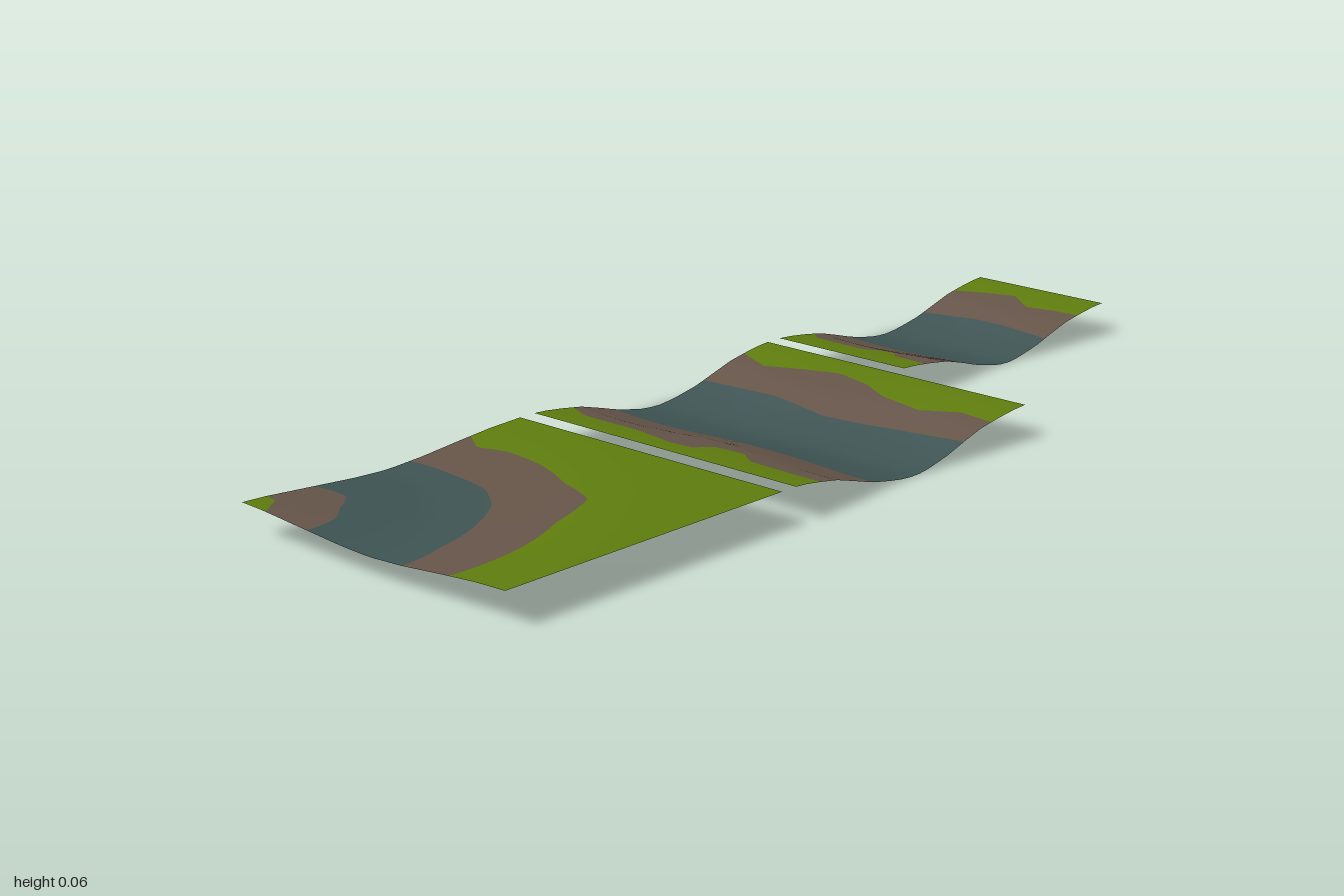
import * as THREE from 'three';

const mat = (name, color) => new THREE.MeshStandardMaterial({ name, color, side: THREE.DoubleSide });

// piecewise linear lookup in a list of [position, value]
function lookup(table, p) {
  if (p <= table[0][0]) return table[0][1];
  for (let i = 1; i < table.length; i++) {
    const [p0, v0] = table[i - 1], [p1, v1] = table[i];
    if (p <= p1) return v0 + (v1 - v0) * (p - p0) / (p1 - p0);
  }
  return table[table.length - 1][1];
}

// surface between two edges; an edge maps t (0..1) to [x, z], height gives y
function strip(edgeA, edgeB, height, nu, nv) {
  const pos = [], nor = [], idx = [], e = 0.015;
  for (let j = 0; j <= nv; j++) {
    for (let i = 0; i <= nu; i++) {
      const a = edgeA(i / nu), b = edgeB(i / nu), k = j / nv;
      const x = a[0] + (b[0] - a[0]) * k, z = a[1] + (b[1] - a[1]) * k;
      pos.push(x, height(x, z), z);
      const n = new THREE.Vector3(height(x - e, z) - height(x + e, z), 2 * e,
        height(x, z - e) - height(x, z + e)).normalize();
      nor.push(n.x, n.y, n.z);
      if (i < nu && j < nv) {
        const p = j * (nu + 1) + i, q = p + nu + 1;
        idx.push(p, q, p + 1, p + 1, q, q + 1);
      }
    }
  }
  const g = new THREE.BufferGeometry();
  g.setAttribute('position', new THREE.Float32BufferAttribute(pos, 3));
  g.setAttribute('normal', new THREE.Float32BufferAttribute(nor, 3));
  g.setIndex(idx);
  return g;
}

// tile made of five bands: grass, bank, water, bank, grass
function tile(name, edges, height, materials) {
  const group = new THREE.Group();
  group.name = name;
  const names = ['farGrass', 'farBank', 'riverWater', 'nearBank', 'nearGrass'];
  names.forEach((part, i) => {
    const m = new THREE.Mesh(strip(edges[i], edges[i + 1], height, 64, 10), materials[i]);
    m.name = part;
    group.add(m);
  });
  return group;
}

export function createModel() {
  const model = new THREE.Group();
  model.name = 'riverTiles';
  const grass = mat('grassGreen', 0x5f7d0e);
  const bank = mat('bankBrown', 0x665549);
  const water = mat('waterTeal', 0x3f5454);
  const bands = [grass, bank, water, bank, grass];

  // river bed cross-section: distance from the middle line, height
  const bed = [[0, 0], [0.04, 0.004], [0.1, 0.016], [0.15, 0.031], [0.2, 0.045],
    [0.25, 0.053], [0.29, 0.058], [0.32, 0.06]];
  const straightHeight = (zc) => (x, z) => {
    const d = Math.abs(z - zc);
    const wave = 0.014 * Math.sin(x * 13 + (z > zc ? 1 : 3)) * Math.sin(Math.PI * Math.min(d / 0.32, 1));
    return lookup(bed, d + wave);
  };
  const straightEdges = (x0, x1, lines) => lines.map((line) => (t) => {
    const x = x0 + (x1 - x0) * t;
    return [x, lookup(line, x)];
  });

  // full straight tile
  model.add(tile('straightTile', straightEdges(-0.32, 0.32, [
    [[0, -0.32]],
    [[-0.32, -0.25], [-0.24, -0.22], [-0.18, -0.235], [-0.08, -0.26], [0, -0.245], [0.06, -0.22],
      [0.16, -0.205], [0.24, -0.23], [0.32, -0.22]],
    [[-0.32, -0.135], [-0.13, -0.13], [0, -0.115], [0.16, -0.135], [0.32, -0.14]],
    [[-0.32, 0.115], [0, 0.12], [0.16, 0.105], [0.32, 0.115]],
    [[-0.32, 0.22], [-0.26, 0.25], [-0.13, 0.25], [-0.02, 0.275], [0.03, 0.27], [0.045, 0.23],
      [0.11, 0.22], [0.155, 0.255], [0.32, 0.255]],
    [[0, 0.32]],
  ]), straightHeight(0), bands));

  // half-width straight tile
  model.add(tile('halfTile', straightEdges(-0.32, 0, [
    [[0, -1]],
    [[-0.32, -0.91], [-0.26, -0.925], [-0.18, -0.94], [-0.12, -0.9], [-0.06, -0.91], [0, -0.915]],
    [[-0.32, -0.81], [-0.18, -0.815], [0, -0.805]],
    [[-0.32, -0.565], [-0.18, -0.56], [0, -0.57]],
    [[-0.32, -0.46], [-0.285, -0.43], [-0.165, -0.43], [-0.14, -0.46], [-0.11, -0.46],
      [-0.085, -0.43], [0, -0.42]],
    [[0, -0.356]],
  ]), straightHeight(-0.678), bands));

  // bend tile: bands circle the front right corner, radius listed by degrees
  const cx = -0.32, cz = 1, side = 0.644;
  const bend = [[0, 0.06], [0.05, 0.058], [0.15, 0.05], [0.25, 0.042], [0.32, 0.039], [0.4, 0.043],
    [0.5, 0.052], [0.57, 0.0575], [0.64, 0.06]];
  const bendHeight = (x, z) => lookup(bend, Math.hypot(x - cx, z - cz));
  const outer = (t) => {
    const a = t * Math.PI / 2, r = side / Math.max(Math.cos(a), Math.sin(a));
    return [cx + Math.min(r * Math.sin(a), 0.64), cz - r * Math.cos(a)];
  };
  const arcs = [
    [[0, 0.52], [6, 0.49], [13, 0.515], [24, 0.532], [36, 0.545], [46, 0.58], [58, 0.54], [70, 0.53], [90, 0.51]],
    [[0, 0.375], [18, 0.389], [32, 0.413], [44, 0.417], [60, 0.403], [75, 0.393], [90, 0.4]],
    [[0, 0.155], [26, 0.178], [47, 0.163], [66, 0.17], [90, 0.165]],
    [[0, 0.05], [30, 0.055], [60, 0.05], [90, 0.06]],
  ].map((line) => (t) => {
    const a = t * Math.PI / 2, r = lookup(line, t * 90);
    return [cx + r * Math.sin(a), cz - r * Math.cos(a)];
  });
  model.add(tile('bendTile', [outer, ...arcs, () => [cx, cz]], bendHeight, bands));

  return model;
}
